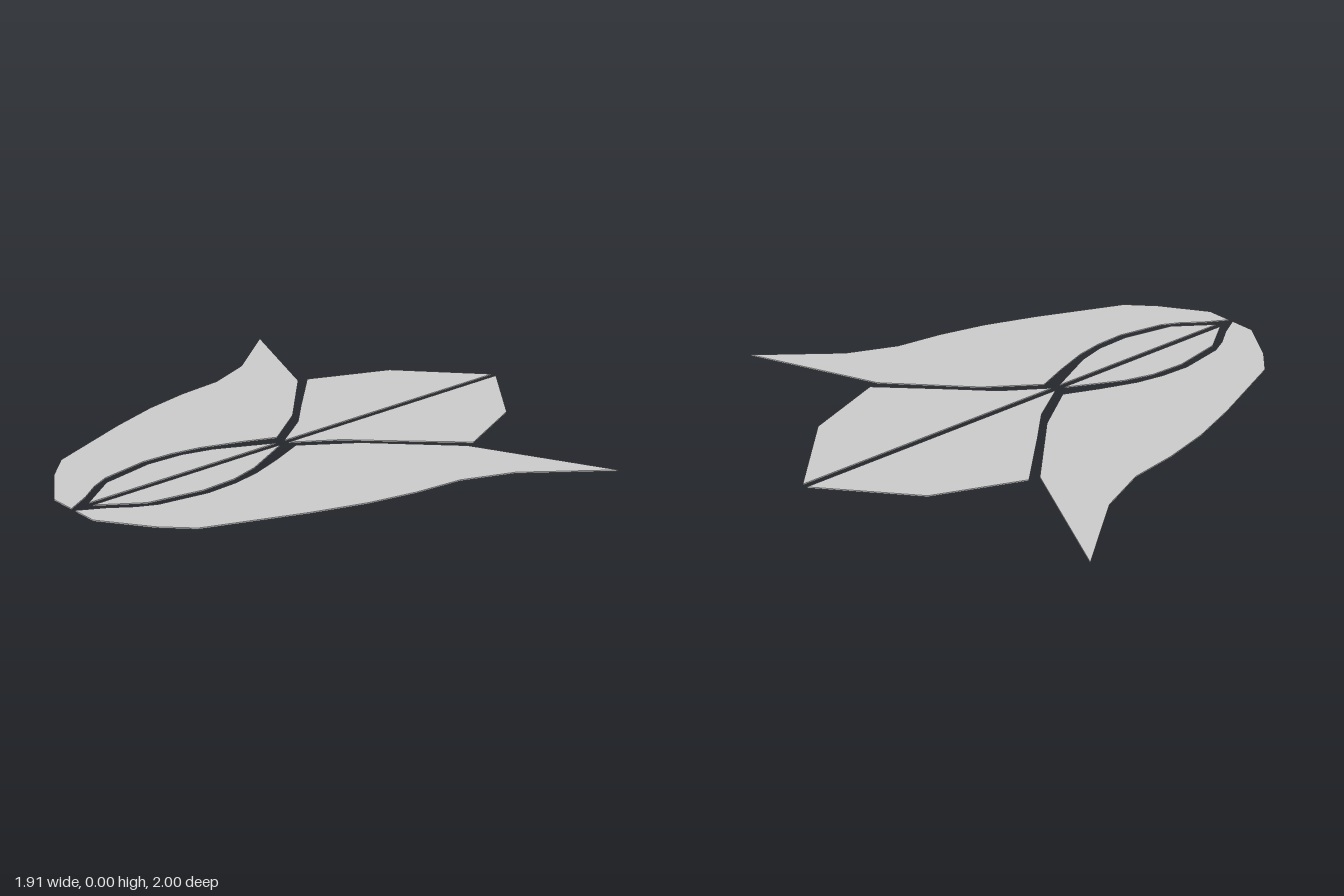
import * as THREE from 'three';

const THICKNESS = 0.005;

// Outlines of the +x half as [x, z]; each is mirrored to the other half.
const outlines = {
  backPetal: [[0.012, -1], [0.315, -0.733], [0.448, -0.415], [0.24, -0.2], [0.12, -0.08], [0.012, 0.08]],
  sidePetal: [
    [0.957, -0.6], [0.738, -0.32], [0.66, -0.13], [0.637, 0.055], [0.595, 0.24], [0.526, 0.44],
    [0.385, 0.785], [0.288, 0.88], [0.12, 0.995], [0.112, 1], [0.01, 1], [0.06, 0.91], [0.115, 0.835],
    [0.15, 0.765], [0.183, 0.58], [0.177, 0.46], [0.156, 0.35], [0.106, 0.21], [0.052, 0.08],
    [0.185, -0.11], [0.457, -0.375],
  ],
  innerLeaf: [[0.012, 0.12], [0.114, 0.325], [0.146, 0.44], [0.153, 0.58], [0.114, 0.785], [0.012, 0.93]],
};

// A thin flat plate lying on the ground, cut to the given outline.
function plate(points, side) {
  const shape = new THREE.Shape(points.map(([x, z]) => new THREE.Vector2(side * x, -z)));
  const geometry = new THREE.ExtrudeGeometry(shape, { depth: THICKNESS, bevelEnabled: false });
  return geometry.rotateX(-Math.PI / 2);
}

export function createModel() {
  const model = new THREE.Group();
  model.name = 'flatFlower';
  const material = new THREE.MeshStandardMaterial({ color: 0xcccccc, flatShading: true });

  for (const [name, points] of Object.entries(outlines)) {
    for (const [suffix, side] of [['Left', 1], ['Right', -1]]) {
      const mesh = new THREE.Mesh(plate(points, side), material);
      mesh.name = name + suffix;
      model.add(mesh);
    }
  }
  return model;
}
